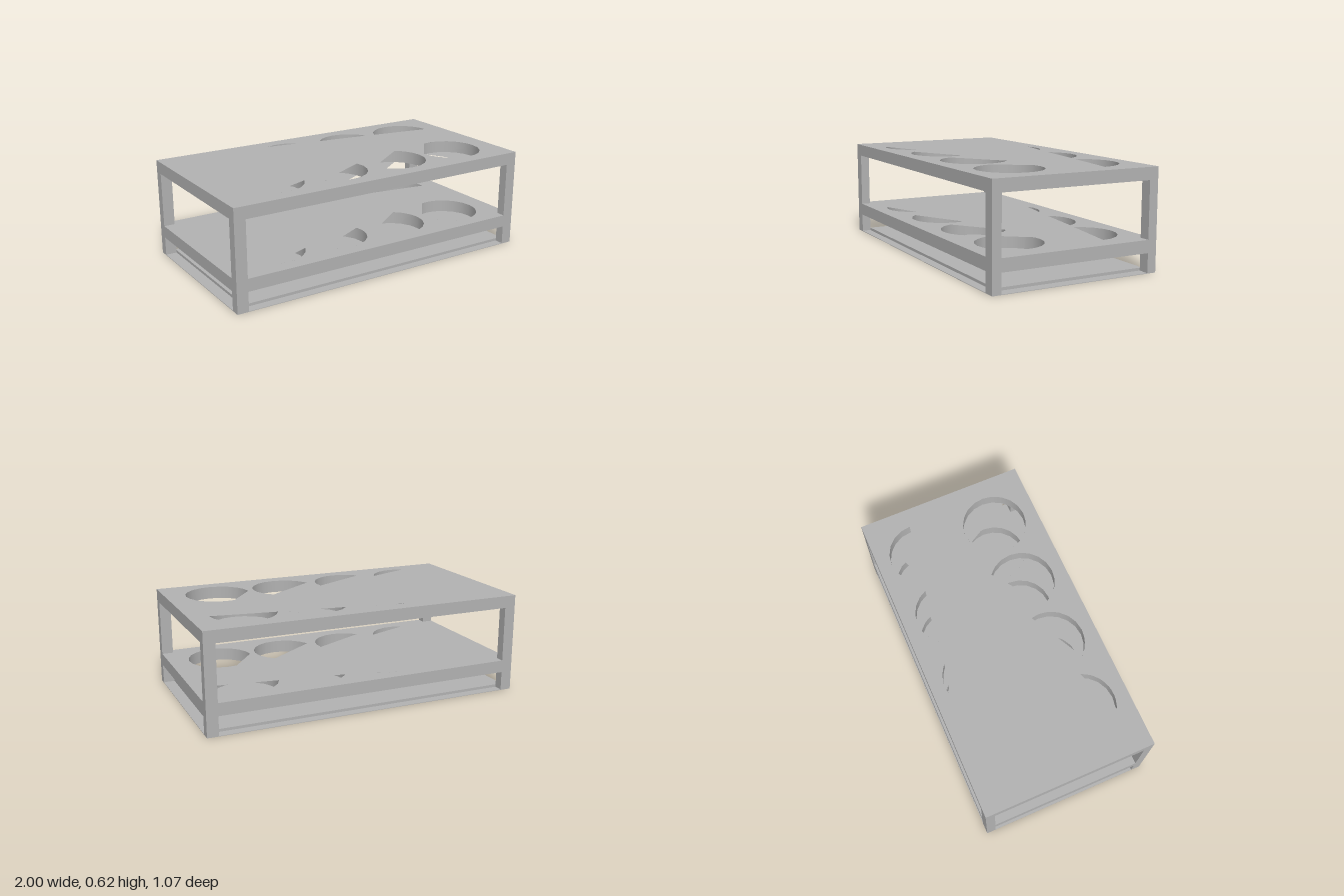
import * as THREE from 'three';

const W = 2, D = 1.066, R = 0.2;
const PX = 0.07, PZ = 0.057; // post section

// Cup holes: centre x, z, then arc limits in degrees of the opening above and below
const holes = [
  [-0.63, 0.25, 20, 118],
  [-0.193, 0.25, -14, 140],
  [0.243, 0.25, -52, 161],
  [0.68, 0.25, -104, 180, 40, 259],
  [-0.193, -0.25, -114, -48],
  [0.243, -0.25, -142, -22],
  [0.68, -0.25, -162, 0, -177, -53],
];

// Rectangle outline in x and z
function rect(Type, w, d) {
  const s = new Type();
  s.moveTo(-w / 2, -d / 2);
  s.lineTo(w / 2, -d / 2);
  s.lineTo(w / 2, d / 2);
  s.lineTo(-w / 2, d / 2);
  s.closePath();
  return s;
}

// Circle segment closed by its chord
function segment(cx, cz, a0, a1) {
  const n = Math.max(3, Math.round((a1 - a0) / 18));
  const points = [];
  for (let i = 0; i <= n; i++) {
    const a = THREE.MathUtils.degToRad(a0 + (a1 - a0) * i / n);
    points.push(new THREE.Vector2(cx + R * Math.cos(a), cz + R * Math.sin(a)));
  }
  return new THREE.Path(points);
}

export function createModel() {
  const model = new THREE.Group();
  model.name = 'rack';
  const grey = new THREE.MeshStandardMaterial({ color: 0xb2b2b2, side: THREE.DoubleSide });
  grey.name = 'grey';

  const add = (parent, name, geometry, x = 0, y = 0, z = 0) => {
    const mesh = new THREE.Mesh(geometry, grey);
    mesh.name = name;
    mesh.position.set(x, y, z);
    parent.add(mesh);
    return mesh;
  };
  const box = (parent, name, w, h, d, x, y, z) =>
    add(parent, name, new THREE.BoxGeometry(w, h, d), x, y, z);

  // Slab with partly covered cup holes
  function slab(name, y0, y1) {
    const group = new THREE.Group();
    group.name = name;
    const h = y1 - y0, mid = (y0 + y1) / 2;
    for (const below of [false, true]) {
      const outline = rect(THREE.Shape, W, D);
      for (const [x, z, a0, a1, b0 = a0, b1 = a1] of holes) {
        outline.holes.push(below ? segment(x, z, b0, b1) : segment(x, z, a0, a1));
      }
      const face = new THREE.ShapeGeometry(outline).rotateX(Math.PI / 2);
      add(group, below ? 'underside' : 'upperSide', face, 0, below ? y0 : y1, 0);
    }
    for (const s of [-1, 1]) {
      add(group, 'longEdge', new THREE.PlaneGeometry(W, h).rotateY(s < 0 ? Math.PI : 0), 0, mid, s * D / 2);
      add(group, 'shortEdge', new THREE.PlaneGeometry(D, h).rotateY(s * Math.PI / 2), s * W / 2, mid, 0);
    }
    for (const [x, z] of holes) {
      const wall = new THREE.CylinderGeometry(R, R, h, 20, 1, true);
      add(group, 'holeWall', wall, x, mid, z);
    }
    model.add(group);
  }
  slab('topShelf', 0.54, 0.615);
  slab('middleShelf', 0.12, 0.197);

  // Corner posts between the shelves and down to the floor
  for (const sx of [-1, 1]) {
    for (const sz of [-1, 1]) {
      const x = sx * (W - PX) / 2, z = sz * (D - PZ) / 2;
      box(model, 'upperPost', PX, 0.343, PZ, x, 0.3685, z);
      box(model, 'foot', PX, 0.12, PZ, x, 0.06, z);
    }
  }

  // Thin base rim with a raised floor tray
  const rim = rect(THREE.Shape, W, D);
  rim.holes.push(rect(THREE.Path, W - 2 * PX, D - 2 * PZ));
  const rimGeometry = new THREE.ExtrudeGeometry(rim, { depth: 0.003, bevelEnabled: false });
  add(model, 'baseRim', rimGeometry.rotateX(Math.PI / 2), 0, 0.003, 0);
  const tw = W - 2 * PX, td = D - 2 * PZ;
  box(model, 'floorTray', tw, 0.003, td, 0, 0.0185, 0);
  for (const s of [-1, 1]) {
    box(model, 'trayLongWall', tw, 0.017, 0.003, 0, 0.0085, s * (td / 2 - 0.0015));
    box(model, 'trayShortWall', 0.003, 0.017, td, s * (tw / 2 - 0.0015), 0.0085, 0);
  }
  return model;
}
